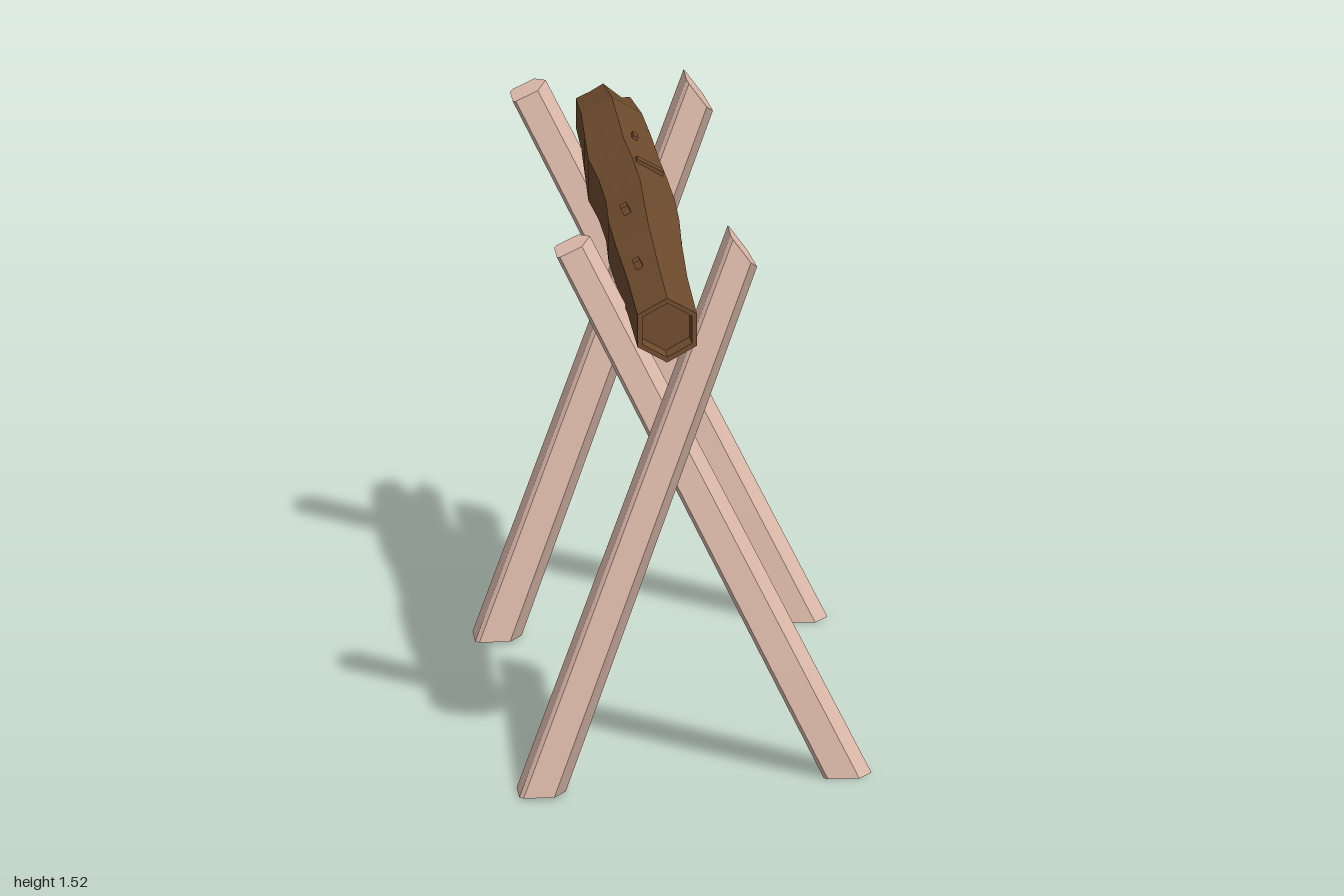
import * as THREE from 'three';

const legMaterial = new THREE.MeshStandardMaterial({ color: 0xe6c2b2, flatShading: true });
const logMaterial = new THREE.MeshStandardMaterial({ color: 0x6f4c2e, flatShading: true });

// Skins a list of equal-length rings of [x, y, z] and closes both ends.
function loft(rings) {
  const pos = [];
  const tri = (...pts) => pts.forEach((p) => pos.push(...p));
  const n = rings[0].length;
  const mid = (ring) => [0, 1, 2].map((k) => ring.reduce((s, p) => s + p[k], 0) / n);
  const first = rings[0], last = rings[rings.length - 1];
  const c0 = mid(first), c1 = mid(last);
  for (let j = 0; j < n; j++) {
    const k = (j + 1) % n;
    for (let i = 0; i < rings.length - 1; i++) {
      const a = rings[i], b = rings[i + 1];
      tri(a[j], b[j], a[k]);
      tri(a[k], b[j], b[k]);
    }
    tri(c0, first[j], first[k]);
    tri(c1, last[k], last[j]);
  }
  const g = new THREE.BufferGeometry();
  g.setAttribute('position', new THREE.Float32BufferAttribute(pos, 3));
  g.computeVertexNormals();
  return g;
}

function part(name, geometry, material) {
  const mesh = new THREE.Mesh(geometry, material);
  mesh.name = name;
  return mesh;
}

// Leg outline: [fraction across the width, fraction of half depth]; a ridge on +x.
const legProfile = [[1, 0], [0.72, 1], [0.08, 1], [0, 0.78], [0, -0.78], [0.08, -1], [0.72, -1]];

// levels: [height at left edge, height at right edge, half depth, z shift]
function leg(name, leftAt, rightAt, levels, z) {
  const rings = levels.map(([yl, yr, half, dz]) => legProfile.map(([t, d]) => {
    const y = yl + (yr - yl) * t;
    return [leftAt(y) + (rightAt(y) - leftAt(y)) * t, y, z + dz + d * half];
  }));
  return part(name, loft(rings), legMaterial);
}

// Hexagonal section with edge midpoints, corner at the top.
function hexPoints([z, x0, x1, y0, y1], scale = 1) {
  const corner = (k) => {
    const a = (k * Math.PI) / 6;
    return [
      (x0 + x1) / 2 + (Math.cos(a) / Math.cos(Math.PI / 6)) * ((x1 - x0) / 2) * scale,
      (y0 + y1) / 2 + Math.sin(a) * ((y1 - y0) / 2) * scale, z];
  };
  return Array.from({ length: 12 }, (_, k) => {
    if (k % 2) return corner(k);
    const a = corner(k - 1), b = corner(k + 1);
    return a.map((v, i) => (v + b[i]) / 2);
  });
}

function crossLog() {
  // z, xMin, xMax, yMin, yMax
  const sections = [
    [1, -0.175, -0.02, 1.235, 1.41],
    [0.7, -0.177, -0.02, 1.235, 1.42],
    [0.42, -0.185, -0.012, 1.225, 1.434],
    [0.2, -0.185, 0, 1.215, 1.432],
    [0, -0.175, 0.005, 1.213, 1.425],
    [-0.2, -0.178, 0, 1.209, 1.427],
    [-0.38, -0.19, -0.006, 1.205, 1.428],
    [-0.56, -0.185, -0.012, 1.23, 1.43],
    [-0.75, -0.178, -0.02, 1.24, 1.43],
  ];
  const front = sections[0];
  const back = [-1, -0.172, -0.03, 1.235, 1.39];
  // Splintered rim: some points stop short of the end
  const rimZ = [-0.77, -1, -0.88, -1, -0.99, -1, -0.98, -1, -0.99, -1, -0.97, -1];
  const tail = sections[8];
  const rim = (scale) => hexPoints(back, scale).map((p, k) => {
    const f = (rimZ[k] + 0.75) / -0.25;
    const base = hexPoints(tail, scale)[k];
    return [base[0] + (p[0] - base[0]) * f, base[1] + (p[1] - base[1]) * f, rimZ[k]];
  });
  return loft([
    hexPoints([0.95, ...front.slice(1)], 0.8),
    hexPoints(front, 0.84),
    ...sections.map((s) => hexPoints(s)),
    rim(1),
    rim(0.84),
    hexPoints([-0.76, ...tail.slice(1)], 0.8),
  ]);
}

export function createModel() {
  const group = new THREE.Group();

  // Horizontal log
  group.add(part('log', crossLog(), logMaterial));

  // Branch stubs and a bark ridge: size, position, roll
  const stubs = [
    [0.02, 0.03, 0.035, -0.145, 1.4, 0.66, 0.5],
    [0.02, 0.03, 0.035, -0.14, 1.412, 0.21, 0.5],
    [0.03, 0.025, 0.045, -0.012, 1.32, 0.22, 0],
    [0.08, 0.012, 0.035, -0.045, 1.404, -0.205, -0.5],
    [0.015, 0.015, 0.04, -0.065, 1.41, -0.45, -0.5],
  ];
  for (const [w, h, d, x, y, z, roll] of stubs) {
    const stub = part('branchStub', new THREE.BoxGeometry(w, h, d), logMaterial);
    stub.position.set(x, y, z);
    stub.rotation.z = roll;
    group.add(stub);
  }

  // Two pairs of crossed legs
  const outerLevels = [[0.005, 0.005, 0.056, 0], [0.7, 0.7, 0.058, 0], [1.52, 1.42, 0.058, 0]];
  const innerLevels = [
    [0, 0, 0.05, 0], [0.3, 0.3, 0.058, -0.003], [0.65, 0.65, 0.064, -0.005],
    [1, 1, 0.058, 0], [1.435, 1.478, 0.055, 0],
  ];
  for (const [side, dz] of [['front', 0], ['back', -1.405]]) {
    const pair = new THREE.Group();
    pair.name = side + 'LegPair';
    pair.add(leg(side + 'OuterLeg', (y) => -0.47 + 0.364 * y, (y) => -0.345 + 0.353 * y, outerLevels, 0.769));
    pair.add(leg(side + 'InnerLeg', (y) => 0.337 - 0.486 * y, (y) => 0.465 - 0.498 * y, innerLevels, 0.65));
    pair.position.z = dz;
    group.add(pair);
  }
  return group;
}
